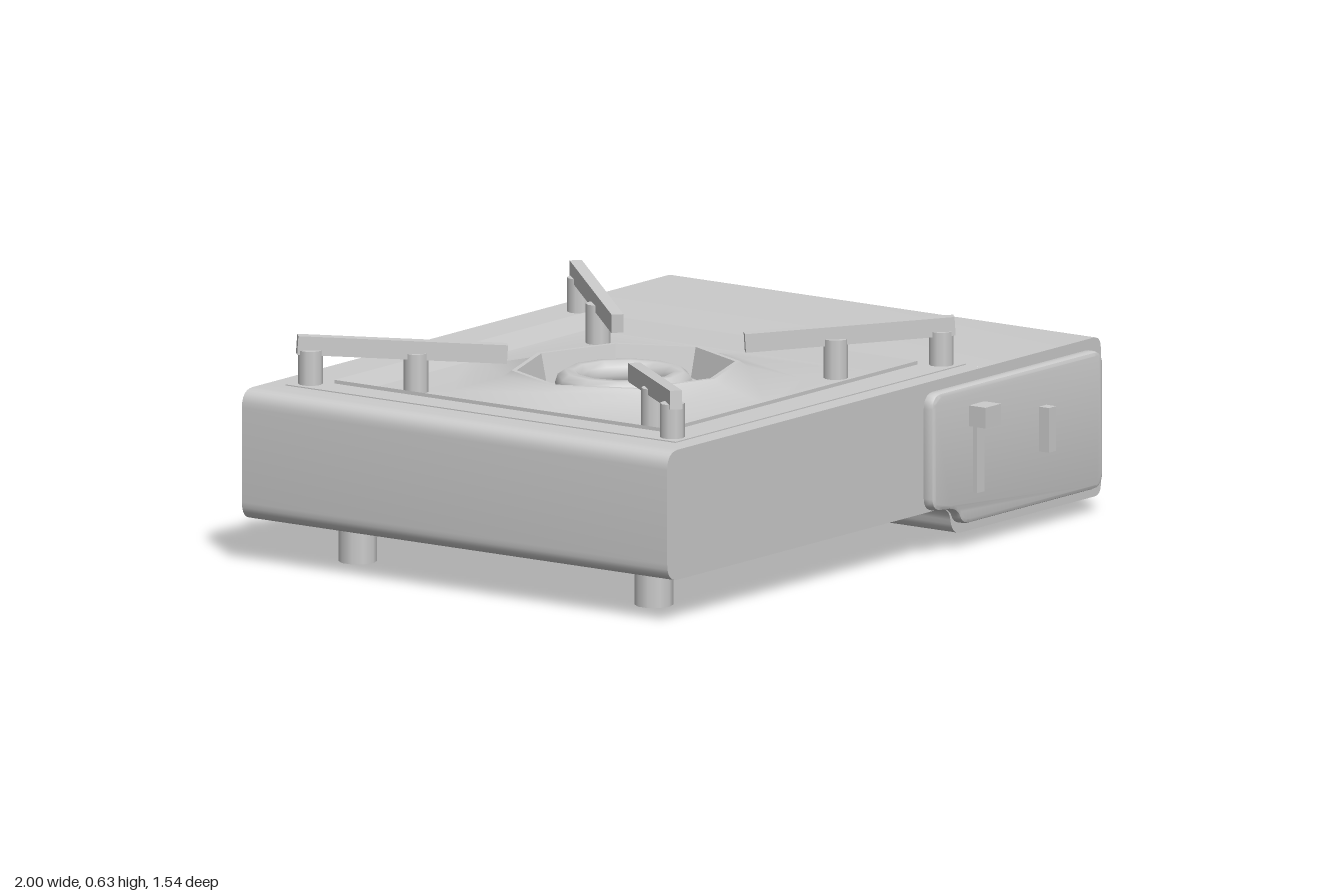
import * as THREE from 'three';
import { toCreasedNormals } from 'three/addons/utils/BufferGeometryUtils.js';

const grey = new THREE.MeshStandardMaterial({ color: 0xcccccc });
const greyThin = new THREE.MeshStandardMaterial({ color: 0xcccccc, side: THREE.DoubleSide });

const TOP = 0.487, BACK = -0.77, FRONT = 0.68;
const CX = -0.21, CZ = -0.045;            // centre of the burner
const TRAY_X = 0.67, TRAY_Z = 0.665;      // half size of the drip tray

function add(parent, name, geometry, x = 0, y = 0, z = 0, material = grey) {
  const mesh = new THREE.Mesh(geometry, material);
  mesh.name = name;
  mesh.position.set(x, y, z);
  parent.add(mesh);
  return mesh;
}

function surface(positions, index, crease) {
  const g = new THREE.BufferGeometry();
  g.setAttribute('position', new THREE.Float32BufferAttribute(positions, 3));
  g.setIndex(index);
  g.computeVertexNormals();
  return toCreasedNormals(g, crease);
}

// Sweeps an open counter-clockwise XY profile from zBack to zFront
function sweep(points, zBack, zFront) {
  const pos = [], idx = [];
  points.forEach((p, i) => {
    pos.push(p.x, p.y, zFront, p.x, p.y, zBack);
    if (i) {
      const a = 2 * i - 2;
      idx.push(a, a + 1, a + 2, a + 2, a + 1, a + 3);
    }
  });
  return surface(pos, idx, 0.7);
}

// Joins eight-point rings, given as [half x, half z, y, square?]
function ringLoft(rings) {
  const pos = [], idx = [];
  rings.forEach(([rx, rz, y, square], r) => {
    for (let i = 0; i < 8; i++) {
      const c = Math.cos(i * Math.PI / 4), s = Math.sin(i * Math.PI / 4);
      const k = square ? 1 / Math.max(Math.abs(c), Math.abs(s)) : 1;
      pos.push(c * k * rx, y, s * k * rz);
      if (r) {
        const o = (r - 1) * 8, n = r * 8, j = (i + 1) % 8;
        idx.push(o + i, n + i, o + j, o + j, n + i, n + j);
      }
    }
  });
  return surface(pos, idx, 0.6);
}

function buildBody() {
  const body = new THREE.Group();
  body.name = 'body';
  const left = CX - TRAY_X, right = CX + TRAY_X, r = 0.05;
  // Rounded outline with a deeper section on one side, open under the tray
  const path = new THREE.Path();
  path.moveTo(left, TOP);
  path.lineTo(-1 + r, TOP);
  path.quadraticCurveTo(-1, TOP, -1, TOP - r);
  path.lineTo(-1, 0.123 + r);
  path.quadraticCurveTo(-1, 0.123, -1 + r, 0.123);
  path.lineTo(0.25, 0.123);
  path.quadraticCurveTo(0.3, 0.123, 0.306, 0.085);
  path.quadraticCurveTo(0.312, 0.042, 0.355, 0.042);
  path.lineTo(0.97, 0.042);
  path.quadraticCurveTo(1, 0.042, 1, 0.072);
  path.lineTo(1, TOP - 0.035);
  path.quadraticCurveTo(1, TOP, 0.965, TOP);
  path.lineTo(right, TOP);
  const outline = path.getPoints(6);
  add(body, 'shell', sweep(outline, BACK, FRONT));

  const bridge = [new THREE.Vector2(right, TOP), new THREE.Vector2(left, TOP)];
  add(body, 'frontTopStrip', sweep(bridge, CZ + TRAY_Z, FRONT));
  add(body, 'backTopStrip', sweep(bridge, BACK, CZ - TRAY_Z));

  const cap = new THREE.ShapeGeometry(new THREE.Shape(outline));
  add(body, 'frontFace', cap, 0, 0, FRONT, greyThin);
  const backCap = cap.clone().rotateY(Math.PI).scale(-1, 1, 1);
  add(body, 'backFace', backCap, 0, 0, BACK, greyThin);
  return body;
}

function buildControlPanel() {
  const panel = new THREE.Group();
  panel.name = 'controlPanel';
  const b = 0.012;
  const s = new THREE.Shape();
  s.moveTo(0.225, 0.445);
  s.quadraticCurveTo(0.195, 0.445, 0.195, 0.415);
  s.lineTo(0.195, 0.165);
  s.quadraticCurveTo(0.195, 0.14, 0.225, 0.138);
  s.lineTo(0.265, 0.135);
  s.quadraticCurveTo(0.31, 0.128, 0.322, 0.1);
  s.quadraticCurveTo(0.33, 0.083, 0.355, 0.083);
  s.lineTo(0.93, 0.083);
  s.quadraticCurveTo(0.96, 0.083, 0.96, 0.113);
  s.lineTo(0.96, 0.415);
  s.quadraticCurveTo(0.96, 0.445, 0.93, 0.445);
  const g = new THREE.ExtrudeGeometry(s, {
    depth: 0.024, bevelSize: b, bevelThickness: b, bevelSegments: 2, curveSegments: 5,
  });
  add(panel, 'panelPlate', toCreasedNormals(g, 0.6), 0, 0, FRONT - 0.005);

  // Lever with its slot, and the lock slider
  add(panel, 'leverSlot', new THREE.BoxGeometry(0.034, 0.19, 0.03), 0.385, 0.25, 0.71);
  add(panel, 'leverKnob', new THREE.BoxGeometry(0.072, 0.058, 0.06), 0.385, 0.373, 0.738);
  add(panel, 'lockSlider', new THREE.BoxGeometry(0.034, 0.125, 0.045), 0.69, 0.283, 0.722);
  return panel;
}

function buildBurner() {
  const burner = new THREE.Group();
  burner.name = 'burner';
  burner.position.set(CX, 0, CZ);
  // Square frame, sunken tray, raised octagonal collar and well
  const tray = ringLoft([
    [TRAY_X, TRAY_Z, 0.48, true],
    [TRAY_X, TRAY_Z, 0.49, true],
    [0.58, 0.565, 0.49, true],
    [0.58, 0.565, 0.5, true],
    [0.55, 0.535, 0.46, true],
    [0.5, 0.48, 0.46, false],
    [0.36, 0.325, 0.497, false],
    [0.337, 0.302, 0.513, false],
    [0.322, 0.288, 0.513, false],
    [0.3, 0.27, 0.43, false],
    [0, 0, 0.425, false],
  ]);
  add(burner, 'dripTray', tray, 0, 0, 0, greyThin);

  const ring = new THREE.TorusGeometry(0.152, 0.04, 10, 12).rotateX(Math.PI / 2);
  add(burner, 'burnerRing', ring, 0, 0.462, -0.005);

  // Four sloping pan supports, each on two posts
  for (const sx of [-1, 1]) for (const sz of [-1, 1]) {
    const support = new THREE.Group();
    support.name = 'panSupport';
    const outer = new THREE.Vector3(sx * 0.642, 0.6, sz * 0.646);
    const inner = new THREE.Vector3(sx * 0.255, 0.563, sz * 0.217);
    const arm = add(support, 'supportArm',
      new THREE.BoxGeometry(0.034, 0.052, outer.distanceTo(inner)));
    arm.position.copy(outer).add(inner).multiplyScalar(0.5);
    arm.lookAt(outer);
    for (const [x, z, y0, y1] of [[0.62, 0.617, 0.485, 0.585], [0.42, 0.405, 0.455, 0.57]]) {
      const post = new THREE.CylinderGeometry(0.034, 0.034, y1 - y0, 10);
      add(support, 'supportPost', post, sx * x, (y0 + y1) / 2, sz * z);
    }
    burner.add(support);
  }
  return burner;
}

export function createModel() {
  const model = new THREE.Group();
  model.name = 'campStove';
  model.add(buildBody(), buildControlPanel(), buildBurner());

  // Feet, longer under the shallow side
  for (const [x, h] of [[-0.777, 0.13], [0.698, 0.05]]) {
    for (const z of [0.47, -0.54]) {
      add(model, 'foot', new THREE.CylinderGeometry(0.053, 0.053, h, 10), x, h / 2, z);
    }
  }
  return model;
}
